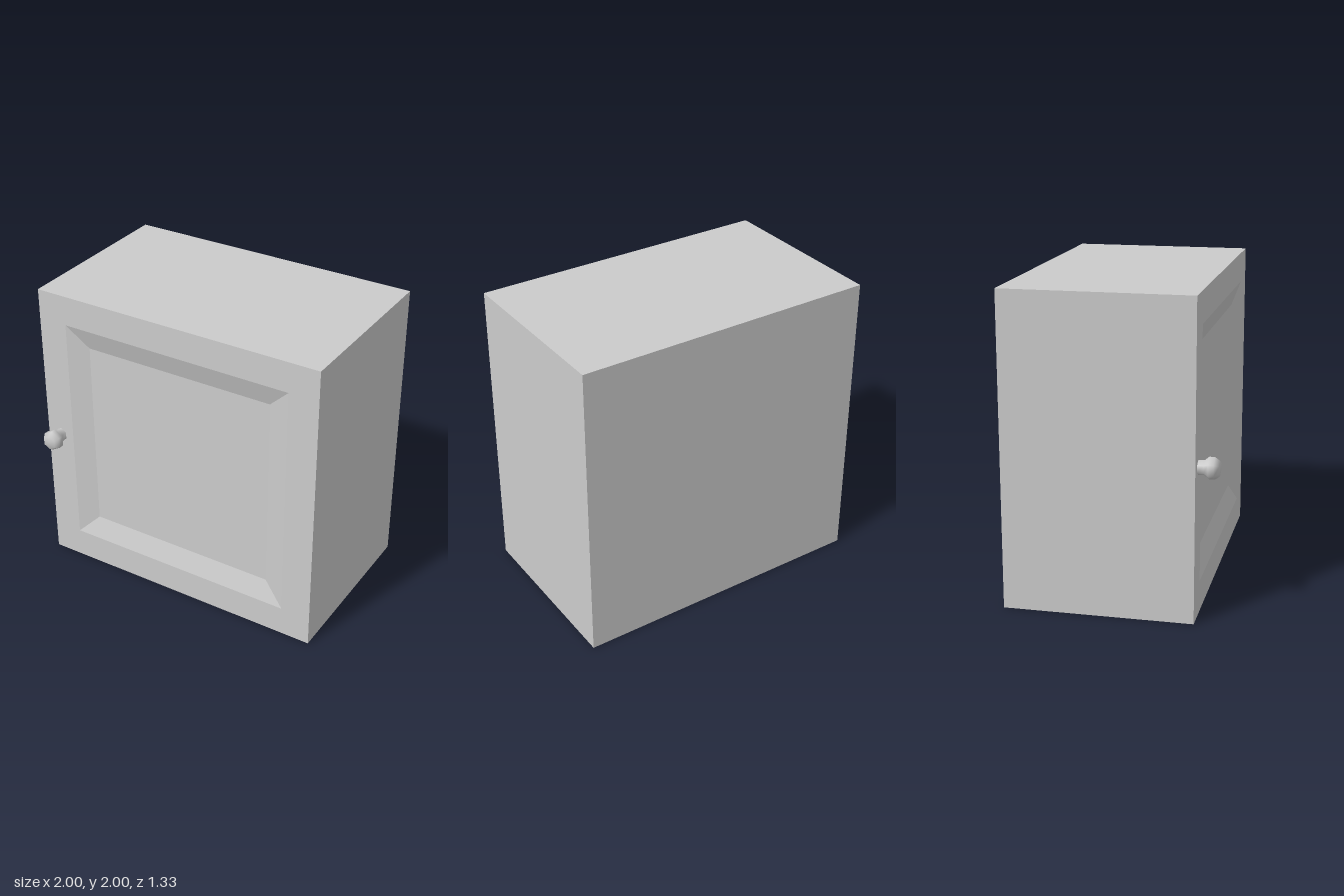
import * as THREE from 'three';

const HEIGHT_MID = 1, BACK = -0.663, FRONT = 0.532, RECESS = 0.045;

// Square cross-section, counter-clockwise as seen from the front
function ring(half, z) {
  return [[-1, -1], [1, -1], [1, 1], [-1, 1]].map(([x, y]) => [x * half, HEIGHT_MID + y * half, z]);
}

// Skins successive rings from back to front, with optional end caps
function loft(rings, { capStart = false, capEnd = false }) {
  const pos = [];
  const quad = (a, b, c, d) => pos.push(...a, ...b, ...c, ...a, ...c, ...d);
  for (let r = 0; r < rings.length - 1; r++) {
    const a = rings[r], b = rings[r + 1];
    for (let i = 0; i < 4; i++) {
      const j = (i + 1) % 4;
      quad(a[i], a[j], b[j], b[i]);
    }
  }
  if (capStart) quad(...[...rings[0]].reverse());
  if (capEnd) quad(...rings[rings.length - 1]);
  const geometry = new THREE.BufferGeometry();
  geometry.setAttribute('position', new THREE.Float32BufferAttribute(pos, 3));
  geometry.computeVertexNormals();
  return geometry;
}

export function createModel() {
  const group = new THREE.Group();
  group.name = 'wallCabinet';
  const flat = new THREE.MeshStandardMaterial({ color: 0xcccccc, flatShading: true });
  const smooth = new THREE.MeshStandardMaterial({ color: 0xcccccc });

  const add = (name, geometry, material) => {
    const mesh = new THREE.Mesh(geometry, material);
    mesh.name = name;
    group.add(mesh);
    return mesh;
  };

  // Cabinet box: back, sides, top and bottom
  add('carcass', loft([ring(1, BACK), ring(1, FRONT)], { capStart: true }), flat);

  // Door: flat frame, bevelled edge and sunken panel
  add('door', loft([ring(1, FRONT), ring(0.8, FRONT), ring(0.655, FRONT - RECESS)], { capEnd: true }), flat);

  // Six-sided door knob, turned to point forwards
  const profile = [
    [0.046, 0], [0.046, 0.038], [0.07, 0.066], [0.07, 0.1], [0.048, 0.131], [0, 0.131],
  ].map(([r, h]) => new THREE.Vector2(r, h));
  const knob = add('knob', new THREE.LatheGeometry(profile, 6), smooth);
  knob.rotation.x = Math.PI / 2;
  knob.position.set(-0.9, 0.96, FRONT);

  return group;
}
